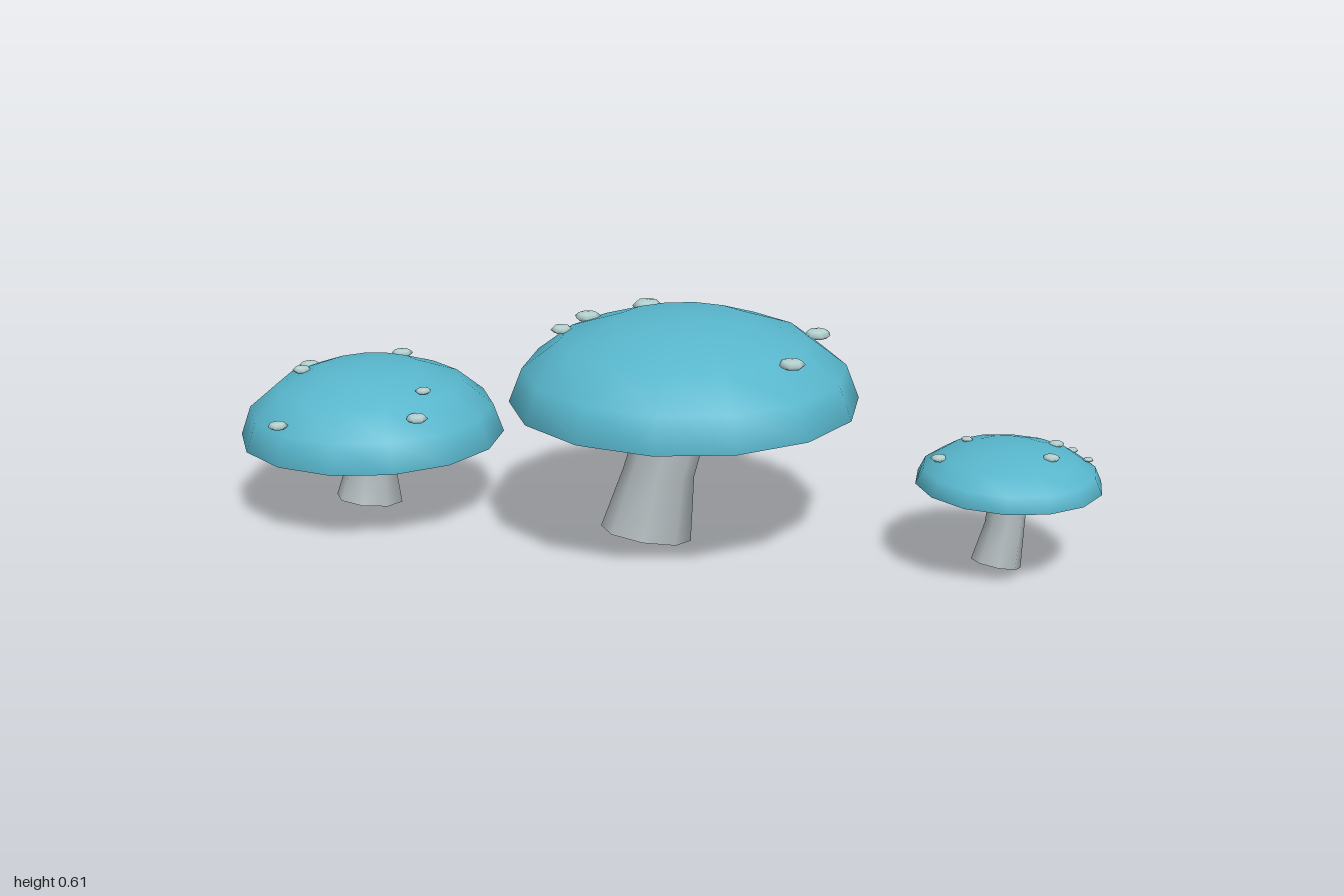
import * as THREE from 'three';
import { toCreasedNormals } from 'three/addons/utils/BufferGeometryUtils.js';

const material = (name, color) => {
  const m = new THREE.MeshStandardMaterial({ color });
  m.name = name;
  return m;
};

// Each mushroom: cap centre, radius and dome height; three stem rings from
// bottom to top as [x, y, z, radius, slope in x]; spots as [x, z, radius].
const MUSHROOMS = [
  {
    name: 'largeMushroom', x: 0.065, y: 0.38, z: 0.07, radius: 0.45, height: 0.23,
    stem: [[-0.035, 0.027, 0.035, 0.117, -0.22], [0, 0.19, 0.045, 0.092, -0.15], [0.052, 0.385, 0.07, 0.087, -0.25]],
    spots: [[0.25, -0.317, 0.04], [-0.12, -0.2, 0.03], [-0.02, -0.215, 0.035], [0.19, -0.22, 0.043],
      [0.475, 0.026, 0.026], [0.434, 0.18, 0.037], [0.12, 0.402, 0.035]],
  },
  {
    name: 'mediumMushroom', x: -0.42, y: 0.215, z: -0.645, radius: 0.352, height: 0.2,
    stem: [[-0.442, 0.033, -0.642, 0.089, -0.14], [-0.43, 0.125, -0.645, 0.067, -0.12], [-0.42, 0.214, -0.643, 0.063, -0.12]],
    spots: [[-0.44, -0.92, 0.03], [-0.55, -0.78, 0.026], [-0.25, -0.745, 0.03], [-0.15, -0.79, 0.027],
      [-0.735, -0.603, 0.027], [-0.397, -0.434, 0.022], [-0.47, -0.36, 0.03]],
  },
  {
    name: 'smallMushroom', x: 0.528, y: 0.235, z: 0.763, radius: 0.233, height: 0.1,
    stem: [[0.488, 0.031, 0.77, 0.062, -0.24], [0.512, 0.13, 0.772, 0.049, -0.15], [0.526, 0.24, 0.77, 0.047, -0.12]],
    spots: [[0.386, 0.656, 0.022], [0.508, 0.64, 0.016], [0.656, 0.804, 0.02], [0.746, 0.788, 0.015],
      [0.55, 0.873, 0.022], [0.677, 0.889, 0.014]],
  },
];

// Bent stem: an eight-sided cylinder whose rings are moved and tilted
function stemGeometry(rings) {
  const geo = new THREE.CylinderGeometry(1, 1, 2, 8, 2);
  const pos = geo.attributes.position;
  for (let i = 0; i < pos.count; i++) {
    const [x, y, z, r, slope] = rings[Math.round(pos.getY(i)) + 1];
    const dx = pos.getX(i) * r;
    pos.setXYZ(i, x + dx, y + dx * slope, z + pos.getZ(i) * r);
  }
  return toCreasedNormals(geo, 1);
}

export function createModel() {
  const capTeal = material('capTeal', 0x58b6cc);
  const stemGrey = material('stemGrey', 0xadb5b8);
  const spotPale = material('spotPale', 0xb4d0d0);

  const SIDES = 14;
  const domeGeo = new THREE.SphereGeometry(1, SIDES, 4, Math.PI / 2, Math.PI * 2, 0, Math.PI / 2);
  const discGeo = new THREE.CircleGeometry(1, SIDES, Math.PI / 2).rotateX(Math.PI / 2);
  const spotGeo = new THREE.SphereGeometry(1, 7, 4);

  const model = new THREE.Group();
  model.name = 'mushroomCluster';

  for (const m of MUSHROOMS) {
    const group = new THREE.Group();
    group.name = m.name;
    const add = (name, geo, mat) => {
      const mesh = new THREE.Mesh(geo, mat);
      mesh.name = name;
      group.add(mesh);
      return mesh;
    };

    // Domed cap closed by a flat underside
    const cap = add('cap', domeGeo, capTeal);
    cap.position.set(m.x, m.y, m.z);
    cap.scale.set(m.radius, m.height, m.radius);
    const underside = add('capUnderside', discGeo, stemGrey);
    underside.position.copy(cap.position);
    underside.scale.copy(cap.scale);

    add('stem', stemGeometry(m.stem), stemGrey);

    // Flattened pebble-like spots resting on the dome
    m.spots.forEach(([x, z, r], i) => {
      const d = Math.hypot(x - m.x, z - m.z) / (m.radius * 1.035);
      const spot = add('spot', spotGeo, spotPale);
      spot.position.set(x, m.y + m.height * Math.sqrt(Math.max(0, 1 - d * d)), z);
      spot.scale.set(r, r * 0.38, r * 0.95);
      spot.rotation.y = i * 1.3;
    });
    model.add(group);
  }
  return model;
}
